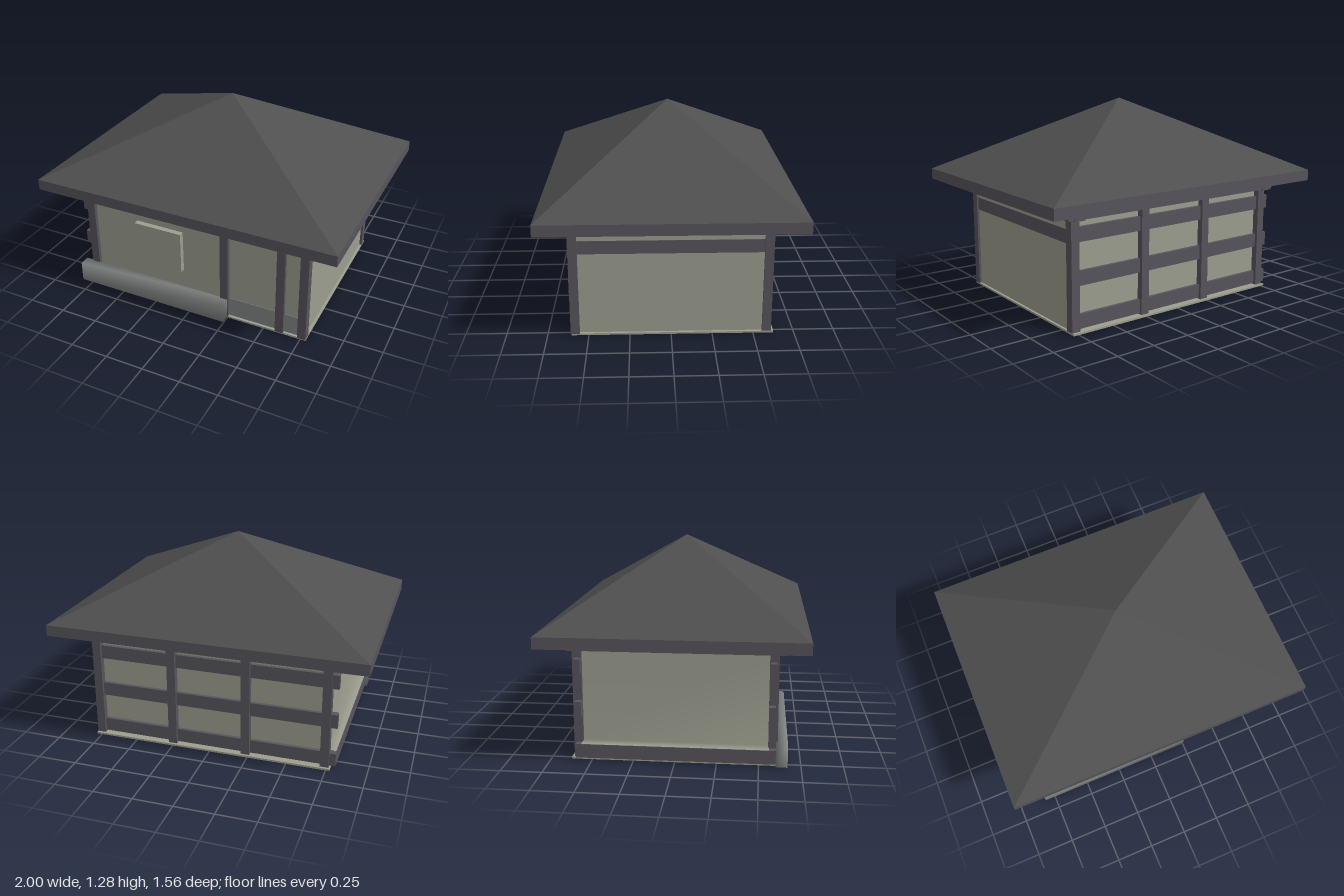
import * as THREE from 'three';
import { mergeVertices } from 'three/addons/utils/BufferGeometryUtils.js';

const mat = (name, color, side = THREE.FrontSide) =>
  Object.assign(new THREE.MeshStandardMaterial({ color, side }), { name });

export function createModel() {
  const house = new THREE.Group();
  house.name = 'house';
  const timber = mat('dark timber', 0x57555c);
  const plaster = mat('plaster', 0x9d9e8f);
  const sheetPlaster = mat('plaster sheet', 0x9d9e8f, THREE.DoubleSide);
  const tile = mat('roof grey', 0x4f4f50);
  const stone = mat('stone grey', 0x838786);

  const add = (name, geometry, material) => {
    const mesh = new THREE.Mesh(geometry, material);
    mesh.name = name;
    house.add(mesh);
    return mesh;
  };
  // Box given by its lower and upper limits on each axis
  const block = (x0, x1, y0, y1, z0, z1) =>
    new THREE.BoxGeometry(x1 - x0, y1 - y0, z1 - z0)
      .translate((x0 + x1) / 2, (y0 + y1) / 2, (z0 + z1) / 2);
  // Share corners so that the shading runs round the edges
  const smooth = (geometry) => {
    geometry.deleteAttribute('normal');
    geometry.deleteAttribute('uv');
    const merged = mergeVertices(geometry);
    merged.computeVertexNormals();
    return merged;
  };

  // Four-sided roof on a flat eave slab
  const slopes = new THREE.ConeGeometry(Math.SQRT2, 0.48, 4, 1, true)
    .rotateY(Math.PI / 4).scale(1, 1, 0.78).translate(0, 1.045, 0).toNonIndexed();
  slopes.computeVertexNormals();
  add('roofSlopes', slopes, tile);
  add('eaveSlab', block(-1, 1, 0.735, 0.805, -0.78, 0.78), timber);

  // Floor and wall core
  add('floor', block(-0.775, 0.785, 0, 0.012, -0.625, 0.605), plaster);
  add('walls', block(-0.735, 0.77, 0.01, 0.735, -0.57, 0.585), plaster);

  // Side wall sheet flaring out onto its bottom rail
  const profile = [[-0.745, 0.68], [-0.745, 0.115], [-0.8, 0.105]];
  const points = profile.flatMap(([x, y]) => [x, y, -0.56, x, y, 0.56]);
  const sheet = new THREE.BufferGeometry();
  sheet.setAttribute('position', new THREE.Float32BufferAttribute(points, 3));
  sheet.setIndex([0, 2, 1, 1, 2, 3, 2, 4, 3, 3, 4, 5]);
  sheet.computeVertexNormals();
  add('flaredSideWall', sheet, sheetPlaster);

  // Posts along the front and the back
  for (const x of [-0.765, 0.2, 0.58, 0.73])
    add('frontPost', block(x, x + 0.055, 0.01, 0.735, 0.555, 0.61), timber);
  for (const x of [-0.765, -0.26, 0.225, 0.73])
    add('backPost', block(x, x + 0.055, 0.01, 0.735, -0.61, -0.555), timber);

  // Crossing beams under the eaves
  for (const side of [-1, 1]) {
    const z = side * 0.607, x = side * 0.745;
    add('longBeam', block(-0.8, 0.82, 0.68, 0.735, z - 0.033, z + 0.033), timber);
    add('crossBeam', block(x - 0.035, x + 0.035, 0.675, 0.73, -0.645, 0.66), timber);
  }

  // Back rails, with stub ends past the corners on one side
  for (const y of [0.02, 0.28, 0.54]) {
    add('backRail', block(-0.74, 0.76, y, y + 0.088, -0.592, -0.56), timber);
    if (y > 0.1) for (const z of [-0.595, 0.555])
      add('railEnd', block(-0.805, -0.74, y, y + 0.09, z, z + 0.04), timber);
  }
  add('sideBottomRail', block(-0.805, -0.73, 0.02, 0.105, -0.595, 0.6), timber);

  // Painted band on the opposite side wall
  add('sideBand', block(0.768, 0.773, 0.53, 0.613, -0.556, 0.556), timber);

  // Front details
  add('windowPanel', block(-0.4, -0.07, 0.265, 0.55, 0.58, 0.62), plaster);
  add('entrancePlinth', block(0.25, 0.732, 0.012, 0.145, 0.583, 0.588), stone);
  add('frontApron', smooth(block(-0.82, 0.25, 0.01, 0.145, 0.6, 0.67)), stone);

  return house;
}
